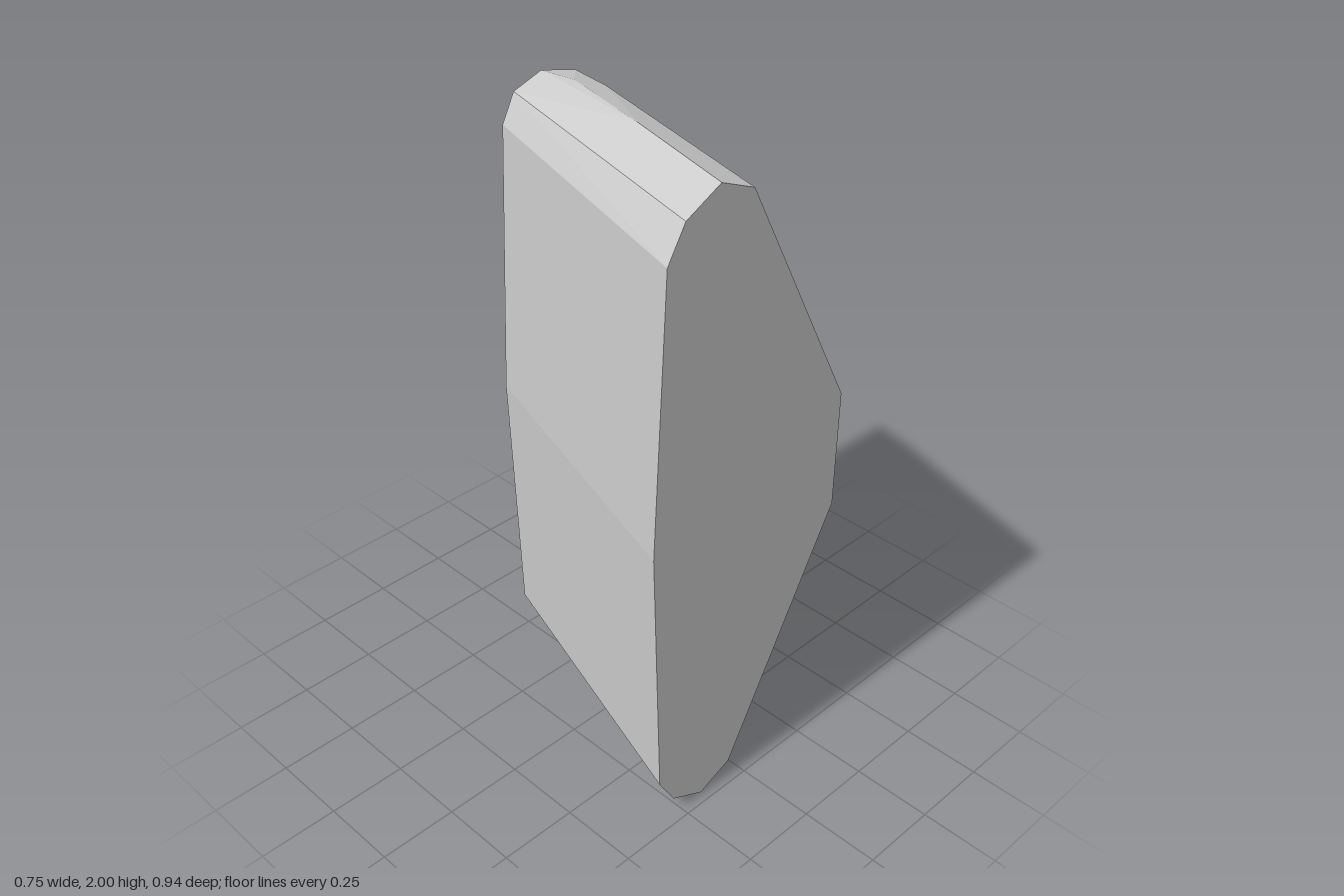
import * as THREE from 'three';
import { ConvexGeometry } from 'three/addons/geometries/ConvexGeometry.js';

const HALF_DEPTH = 0.468;

// Upper half outlines [x, y], from the right rim over the crown to the left rim
const frontOutline = [[-0.375, 1], [-0.34, 1.84], [-0.28, 1.94], [-0.16, 2], [-0.04, 1.95], [0.375, 1.19]];
const backOutline = [[-0.075, 1], [-0.04, 1.84], [0.005, 1.925], [0.11, 1.96], [0.24, 1.928], [0.285, 1.86], [0.375, 1.22]];

// Slight bulge of the crown and shoulder between the two ends [x, y, z]
const bulge = [[-0.03, 1.994, 0.06], [0.1, 1.973, -0.32], [0.2, 1.936, -0.3]];

export function createModel() {
  const group = new THREE.Group();
  group.name = 'facetedStone';

  // Mirror every point about mid height and wrap the flat facets around them
  const upper = [
    ...frontOutline.map(([x, y]) => [x, y, HALF_DEPTH]),
    ...backOutline.map(([x, y]) => [x, y, -HALF_DEPTH]),
    ...bulge,
  ];
  const points = [];
  for (const [x, y, z] of upper) {
    points.push(new THREE.Vector3(x, y, z));
    if (y !== 1) points.push(new THREE.Vector3(x, 2 - y, z));
  }

  const material = new THREE.MeshStandardMaterial({ color: 0xcccccc, flatShading: true });
  const body = new THREE.Mesh(new ConvexGeometry(points), material);
  body.name = 'stoneBody';
  group.add(body);
  return group;
}
